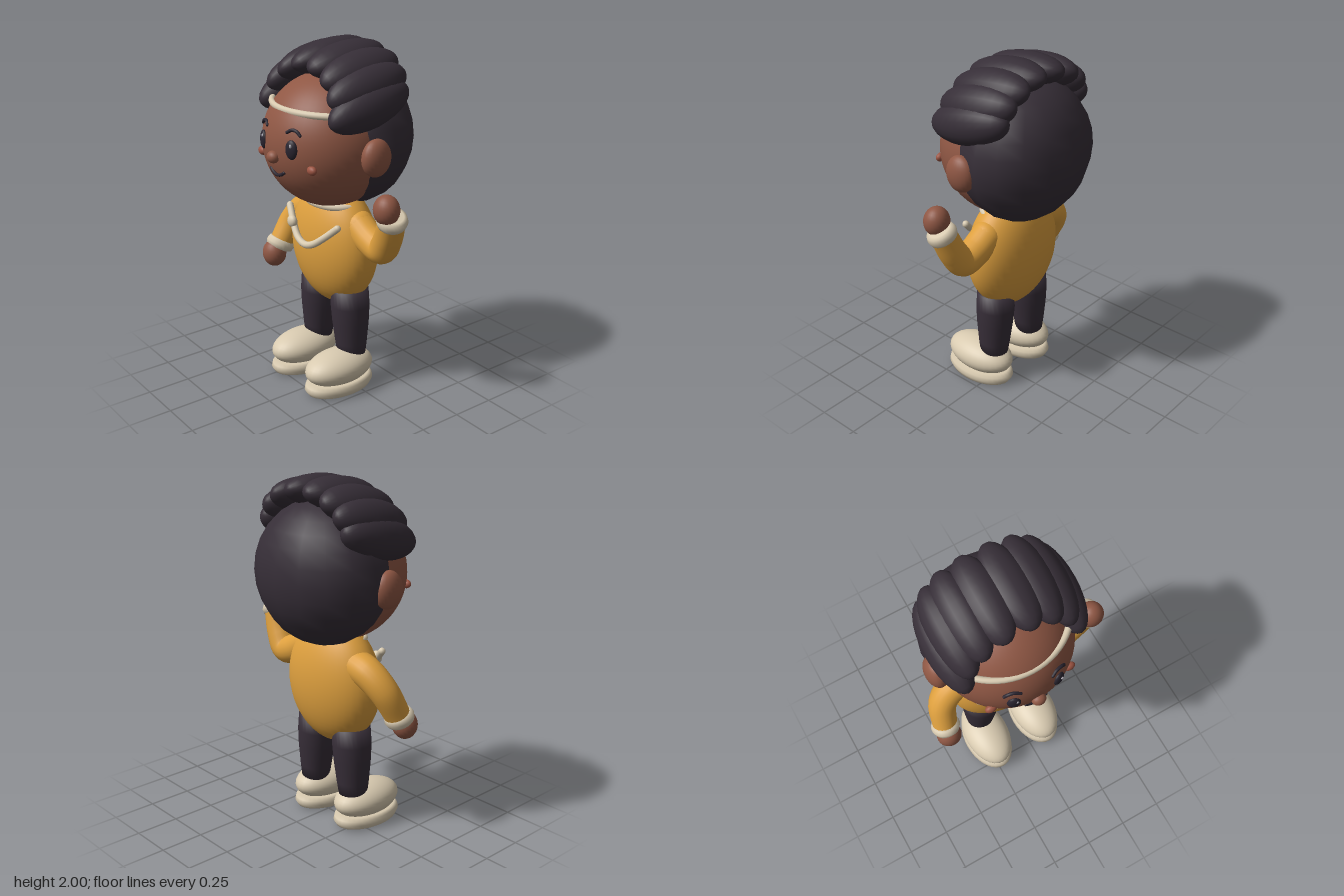
import * as THREE from 'three';

const mat = (name, color) => {
  const m = new THREE.MeshStandardMaterial({ color });
  m.name = name;
  return m;
};
const CX = -0.06; // symmetry axis of head, body and legs

export function createModel() {
  const skin = mat('skin', 0x8f5744);
  const cheekTone = mat('cheek', 0x9c5442);
  const hair = mat('dark hair', 0x362e37);
  const trousers = mat('dark trousers', 0x372e38);
  const ink = mat('face ink', 0x2a2530);
  const sweater = mat('mustard sweater', 0xdd9f3e);
  const cream = mat('cream', 0xd8cab0);
  const glint = mat('eye glint', 0xa8a4ac);

  const model = new THREE.Group();
  model.name = 'wavingFigure';

  const add = (name, geo, material, pos = [0, 0, 0], parent = model) => {
    const m = new THREE.Mesh(geo, material);
    m.name = name;
    m.position.set(...pos);
    parent.add(m);
    return m;
  };
  const ball = (name, material, pos, radii, seg = [32, 24], parent = model) => {
    const m = add(name, new THREE.SphereGeometry(1, ...seg), material, pos, parent);
    m.scale.set(...radii);
    return m;
  };
  const curve = pts => new THREE.CatmullRomCurve3(pts.map(p => new THREE.Vector3(...p)));
  const tube = (name, material, pts, r, capped = true) => {
    add(name, new THREE.TubeGeometry(curve(pts), 28, r, 12), material);
    if (capped) for (const p of [pts[0], pts[pts.length - 1]]) ball(name + 'End', material, p, [r, r, r], [12, 8]);
  };
  // Tube whose radius changes evenly from r0 to r1
  const taperedTube = (pts, r0, r1) => {
    const c = curve(pts), n = 28, sides = 20;
    const g = new THREE.TubeGeometry(c, n, 1, sides);
    const a = g.attributes.position, v = new THREE.Vector3();
    for (let i = 0; i < a.count; i++) {
      const t = Math.floor(i / (sides + 1)) / n, p = c.getPointAt(t);
      v.fromBufferAttribute(a, i).sub(p).multiplyScalar(r0 + (r1 - r0) * t).add(p);
      a.setXYZ(i, v.x, v.y, v.z);
    }
    return g;
  };
  const lathe = (pts, seg = 32) => new THREE.LatheGeometry(pts.map(p => new THREE.Vector2(...p)), seg);

  // Torso and collar
  ball('torso', sweater, [CX, 0.842, -0.01], [0.32, 0.36, 0.193], [40, 28]);
  const collar = add('collar', new THREE.TorusGeometry(1, 0.11, 12, 40).rotateX(Math.PI / 2), cream, [CX, 1.105, 0]);
  collar.scale.set(0.185, 0.18, 0.135);

  // Cord across the chest with a bead
  tube('chestCord', cream, [[-0.285, 1.03, 0.14], [-0.2, 0.95, 0.175], [-0.13, 0.892, 0.195],
    [CX, 0.872, 0.2], [0.01, 0.892, 0.195], [0.09, 0.95, 0.175], [0.165, 1.02, 0.14]], 0.02);
  ball('cordBead', cream, [-0.2, 0.965, 0.185], [0.036, 0.036, 0.025], [16, 12]);

  // Legs and shoes
  for (const s of [-1, 1]) {
    const side = s > 0 ? 'left' : 'right';
    const leg = add(side + 'Leg', lathe([[0, 0.18], [0.08, 0.18], [0.092, 0.27], [0.106, 0.4],
      [0.112, 0.5], [0.108, 0.6], [0, 0.61]], 28), trousers, [CX + s * 0.17, 0, -0.01]);
    leg.rotation.z = s * 0.045;
    const x = CX + s * 0.17;
    const sole = add(side + 'Sole', lathe([[0, 0], [0.8, 0], [0.93, 0.012], [1, 0.038],
      [0.97, 0.062], [0.88, 0.08], [0, 0.085]], 36), cream, [x, 0, 0.088]);
    sole.scale.set(0.14, 1, 0.224);
    ball(side + 'Shoe', cream, [x, 0.14, 0.087], [0.136, 0.1, 0.221]);
  }

  // Arms: hanging right arm, waving left arm
  const arms = [
    { side: 'right', path: [[-0.25, 0.985, -0.03], [-0.36, 0.955, -0.03], [-0.445, 0.87, 0], [-0.482, 0.72, 0.075]],
      r: [0.095, 0.072], cuff: [-0.482, 0.715, 0.082], hand: [-0.484, 0.662, 0.125], dir: [-0.05, -0.85, 0.4] },
    { side: 'left', path: [[0.16, 1.0, -0.015], [0.265, 0.945, -0.015], [0.355, 0.925, -0.015], [0.415, 1.0, -0.005], [0.472, 1.13, 0.015]],
      r: [0.09, 0.074], cuff: [0.476, 1.135, 0.018], hand: [0.474, 1.2, 0.055], dir: [0.35, 0.85, 0.2] },
  ];
  for (const { side, path, r, cuff, hand, dir } of arms) {
    add(side + 'Sleeve', taperedTube(path, ...r), sweater);
    ball(side + 'Shoulder', sweater, path[0], [r[0], r[0], r[0]], [24, 16]);
    const c = add(side + 'Cuff', lathe([[0, -0.034], [0.06, -0.034], [0.078, -0.026], [0.086, 0],
      [0.078, 0.026], [0.06, 0.034], [0, 0.034]], 28), cream, cuff);
    c.quaternion.setFromUnitVectors(new THREE.Vector3(0, 1, 0), new THREE.Vector3(...dir).normalize());
    ball(side + 'Hand', skin, hand, [0.074, 0.083, 0.07], [24, 16]);
  }

  // Head, ears and back hair
  ball('head', skin, [CX, 1.46, 0.018], [0.375, 0.375, 0.375], [48, 32]);
  ball('backHair', hair, [CX, 1.48, -0.1], [0.414, 0.4, 0.33], [16, 14]);
  for (const s of [-1, 1])
    ball(s > 0 ? 'leftEar' : 'rightEar', skin, [CX + s * 0.39, 1.437, 0.01], [0.06, 0.104, 0.09], [24, 16]);

  // Headband
  const band = add('headband', new THREE.TorusGeometry(0.368, 0.019, 12, 64).rotateX(Math.PI / 2), cream, [CX, 1.664, -0.02]);
  band.scale.z = 0.92;

  // Arch of swept hair rolls: [angle from top, length, tilt, z, thickness]
  const rolls = [[13, 0.247, 0.12, -0.035, 0.09], [37, 0.25, 0.15, -0.03, 0.095],
    [59, 0.255, 0.19, -0.015, 0.1], [81, 0.262, 0.24, 0.005, 0.105]];
  const rollGeo = new THREE.SphereGeometry(1, 18, 14).rotateX(Math.PI / 2);
  for (const s of [-1, 1]) for (const [deg, len, tilt, z, thick] of rolls) {
    const a = THREE.MathUtils.degToRad(deg);
    const roll = add('hairRoll', rollGeo, hair, [CX + s * 0.325 * Math.sin(a), 1.66 + 0.25 * Math.cos(a), z]);
    roll.scale.set(0.118, thick, len);
    roll.rotation.set(tilt, 0, -s * a);
  }

  // Face
  for (const s of [-1, 1]) {
    const side = s > 0 ? 'left' : 'right', x = CX + s * 0.13;
    const eye = ball(side + 'Eye', ink, [x, 1.483, 0.366], [0.037, 0.053, 0.02], [20, 14]);
    eye.rotation.y = s * 0.35;
    ball(side + 'EyeGlint', glint, [x + 0.012, 1.508, 0.382], [0.009, 0.011, 0.006], [10, 8]);
    tube(side + 'Brow', ink, [[x + s * 0.042, 1.564, 0.34], [x + s * 0.022, 1.582, 0.346],
      [x - s * 0.01, 1.586, 0.354], [x - s * 0.038, 1.57, 0.366]], 0.009);
    ball(side + 'Cheek', cheekTone, [CX + s * 0.232, 1.385, 0.31], [0.034, 0.025, 0.022], [16, 12]);
  }
  ball('nose', skin, [CX, 1.42, 0.395], [0.04, 0.034, 0.034], [20, 14]);
  tube('mouth', ink, [[CX - 0.06, 1.34, 0.368], [CX - 0.035, 1.324, 0.37], [CX, 1.316, 0.372],
    [CX + 0.035, 1.324, 0.37], [CX + 0.06, 1.34, 0.368]], 0.009);

  return model;
}
